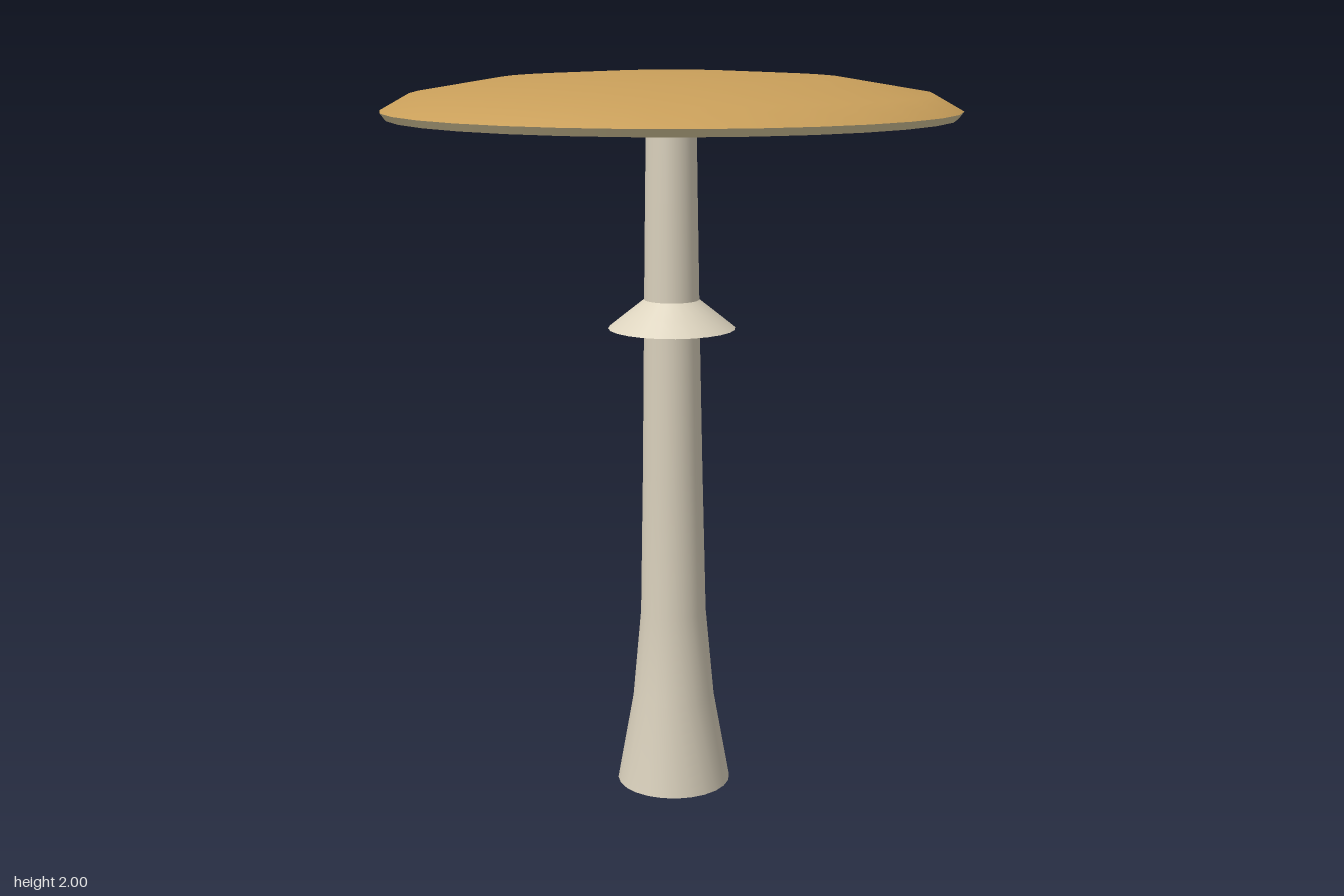
import * as THREE from 'three';

const mat = (name, color, side = THREE.FrontSide) => {
  const m = new THREE.MeshStandardMaterial({ color, side });
  m.name = name;
  return m;
};

export function createModel() {
  const group = new THREE.Group();
  group.name = 'mushroom';

  const ochre = mat('ochreCap', 0xc99f5a);
  const cream = mat('creamStem', 0xd8cfbb);
  const creamThin = mat('creamRing', 0xdcd3be, THREE.DoubleSide);
  const straw = mat('strawGills', 0xd9c99c);

  // Sideways lean of the stem by height: the same offset in x and z
  const lean = [[0, 0.085], [0.25, 0.08], [0.5, 0.072], [0.9, 0.047], [1.3, 0.018], [1.38, 0.013], [1.65, 0.002], [1.9, -0.003]];
  const leanAt = (y) => {
    for (let i = 1; i < lean.length; i++) {
      const [y0, a] = lean[i - 1], [y1, b] = lean[i];
      if (y <= y1) return a + (b - a) * Math.max(0, (y - y0) / (y1 - y0));
    }
    return lean[lean.length - 1][1];
  };

  // Turned part; leaning parts have each level shifted along the stem's curve
  const turned = (name, profile, sides, material, leaning = false) => {
    const geo = new THREE.LatheGeometry(profile.map(([r, y]) => new THREE.Vector2(r, y)), sides);
    if (leaning) {
      const p = geo.attributes.position;
      for (let i = 0; i < p.count; i++) {
        const d = leanAt(p.getY(i));
        p.setX(i, p.getX(i) + d);
        p.setZ(i, p.getZ(i) + d);
      }
    }
    const mesh = new THREE.Mesh(geo, material);
    mesh.name = name;
    group.add(mesh);
  };

  // Stem, flared at the foot, and its flat base
  turned('stem', [[0.16, 0], [0.115, 0.25], [0.092, 0.5], [0.084, 0.9], [0.078, 1.3], [0.077, 1.38], [0.073, 1.65], [0.069, 1.91]], 24, cream, true);
  turned('stemBase', [[0, 0], [0.16, 0]], 24, cream, true);

  // Flared skirt around the stem
  turned('ring', [[0.178, 1.3], [0.13, 1.338], [0.076, 1.38]], 24, creamThin, true);

  // Shallow domed cap, pale rim and slightly hollow underside
  turned('cap', [[0.79, 1.9], [0.71, 1.945], [0.47, 1.985], [0.2, 1.999], [0, 2]], 32, ochre);
  turned('capRim', [[0.775, 1.88], [0.79, 1.9]], 32, straw);
  turned('gills', [[0, 1.905], [0.07, 1.9], [0.2, 1.888], [0.45, 1.882], [0.775, 1.88]], 32, straw);

  return group;
}
